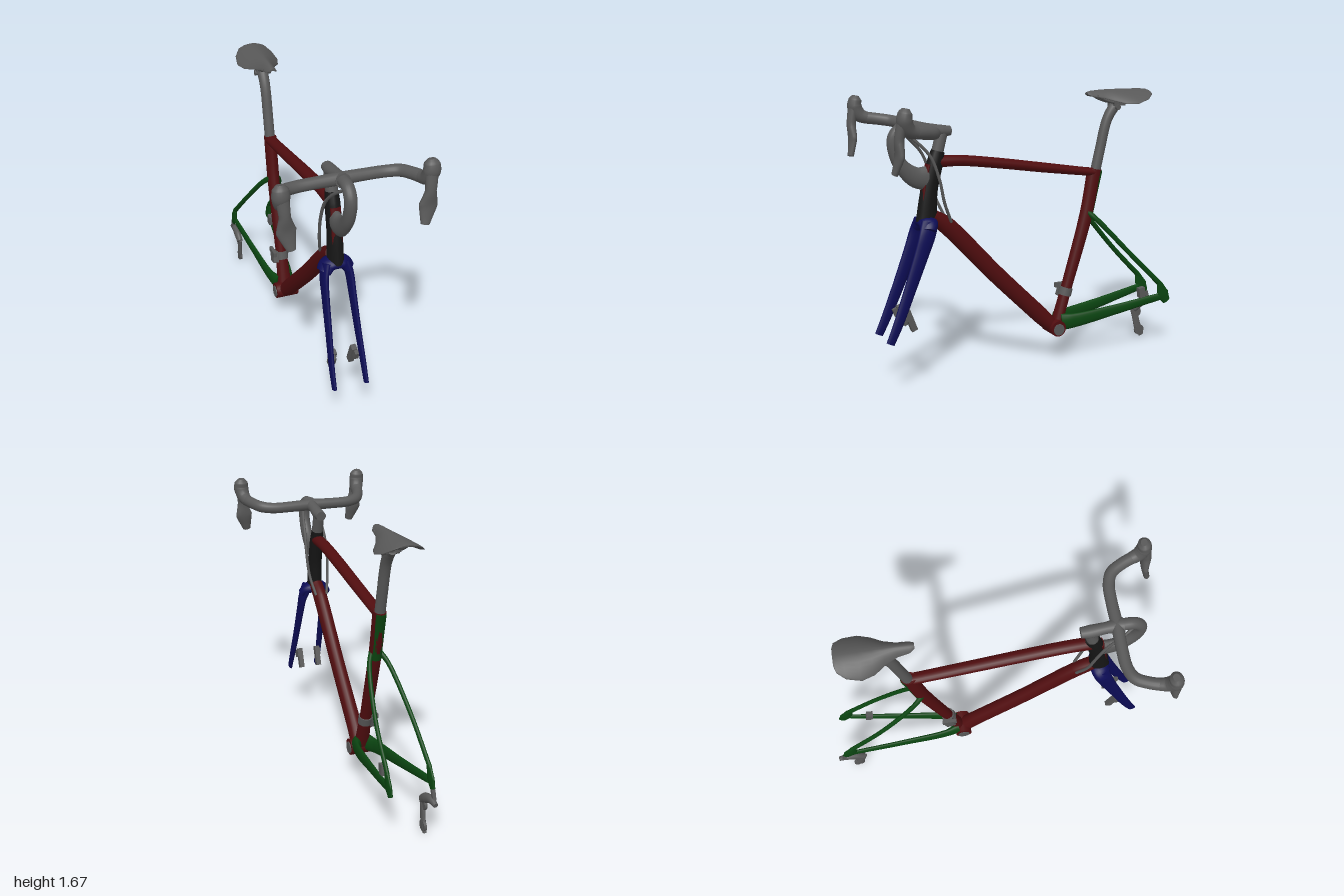
import * as THREE from 'three';

const mat = (name, color) => {
  const m = new THREE.MeshStandardMaterial({ color });
  m.name = name;
  return m;
};

// Skin a list of equal rings, with flat end caps (rings turn anticlockwise seen from the far end)
function loft(rings) {
  const pos = [], idx = [], n = rings[0].length, last = rings.length - 1;
  const add = (p) => pos.push(p.x, p.y, p.z) / 3 - 1;
  rings.forEach((r) => r.forEach(add));
  for (let i = 0; i < last; i++) for (let j = 0; j < n; j++) {
    const a = i * n + j, b = i * n + (j + 1) % n;
    idx.push(a, b, b + n, a, b + n, a + n);
  }
  for (const end of [0, last]) {
    const mid = rings[end].reduce((s, p) => s.add(p), new THREE.Vector3()).divideScalar(n);
    const c = add(mid), first = rings[end].map(add)[0];
    for (let j = 0; j < n; j++) {
      const a = first + j, b = first + (j + 1) % n;
      if (end) idx.push(c, a, b); else idx.push(c, b, a);
    }
  }
  const g = new THREE.BufferGeometry();
  g.setAttribute('position', new THREE.Float32BufferAttribute(pos, 3));
  g.setIndex(idx);
  g.computeVertexNormals();
  return g;
}

// Elliptical tube through [x, y, z, radiusAlongRef, radiusAcross]; ref is the sideways axis
function sweep(pts, ref = new THREE.Vector3(1, 0, 0), sides = 18) {
  const curve = new THREE.CatmullRomCurve3(pts.map((p) => new THREE.Vector3(p[0], p[1], p[2])), false, 'centripetal');
  const steps = (pts.length - 1) * 6, rings = [];
  for (let i = 0; i <= steps; i++) {
    const t = i / steps, c = curve.getPoint(t), d = curve.getTangent(t);
    const u = ref.clone().addScaledVector(d, -ref.dot(d)).normalize();
    const v = d.clone().cross(u);
    const k = Math.min(Math.floor(i / 6), pts.length - 2), f = i / 6 - k;
    const ra = THREE.MathUtils.lerp(pts[k][3], pts[k + 1][3], f);
    const rb = THREE.MathUtils.lerp(pts[k][4], pts[k + 1][4], f);
    rings.push(Array.from({ length: sides }, (_, j) => {
      const a = (j / sides) * Math.PI * 2;
      return c.clone().addScaledVector(u, ra * Math.cos(a)).addScaledVector(v, rb * Math.sin(a));
    }));
  }
  return loft(rings);
}

export function createModel() {
  const red = mat('frame red', 0x500d0f), green = mat('stay green', 0x0b4511), blue = mat('fork blue', 0x0c0c55);
  const grey = mat('component grey', 0x585858), black = mat('head tube black', 0x151515);
  const model = new THREE.Group();
  const add = (name, geo, m, pos, rot) => {
    const mesh = new THREE.Mesh(geo, m);
    mesh.name = name;
    if (pos) mesh.position.set(...pos);
    if (rot) mesh.rotation.set(...rot);
    model.add(mesh);
    return mesh;
  };
  const box = (name, m, size, pos, rot) => add(name, new THREE.BoxGeometry(...size), m, pos, rot);
  const axle = (name, m, r, w, pos) => add(name, new THREE.CylinderGeometry(r, r, w, 24), m, pos, [0, 0, Math.PI / 2]);
  const UP = new THREE.Vector3(0, 1, 0);

  // Main frame
  add('topTube', sweep([[0, 1.31, 0.59, 0.038, 0.034], [0, 1.305, 0.45, 0.038, 0.031], [0, 1.27, 0.2, 0.038, 0.031],
    [0, 1.225, -0.07, 0.037, 0.03], [0, 1.18, -0.35, 0.036, 0.026], [0, 1.165, -0.45, 0.036, 0.026]]), red);
  add('downTube', sweep([[0, 1.0, 0.63, 0.042, 0.04], [0, 0.93, 0.54, 0.043, 0.052], [0, 0.6, 0.23, 0.043, 0.052],
    [0, 0.3, -0.07, 0.045, 0.052], [0, 0.22, -0.15, 0.05, 0.045]]), red);
  add('seatTube', sweep([[0, 1.185, -0.45, 0.037, 0.048], [0, 0.914, -0.395, 0.037, 0.042],
    [0, 0.458, -0.257, 0.035, 0.034], [0, 0.24, -0.19, 0.045, 0.034]]), red);
  axle('bottomBracketShell', red, 0.05, 0.14, [0, 0.215, -0.165]);
  for (const s of [-1, 1]) axle('bottomBracketCap', grey, 0.036, 0.012, [s * 0.07, 0.21, -0.165]);
  add('seatTubeRearStrip', sweep([[0, 1.175, -0.478, 0.03, 0.022], [0, 1.05, -0.448, 0.03, 0.021],
    [0, 0.88, -0.408, 0.03, 0.022]]), green);

  // Head tube
  add('headTube', sweep([[0, 0.97, 0.67, 0.046, 0.062], [0, 1.15, 0.648, 0.042, 0.05],
    [0, 1.3, 0.61, 0.042, 0.048], [0, 1.37, 0.59, 0.036, 0.04]]), black);
  add('headTubeFrontStripe', sweep([[0, 1.1, 0.692, 0.03, 0.012], [0, 1.2, 0.676, 0.03, 0.012], [0, 1.3, 0.652, 0.03, 0.012]]), red);

  // Fork
  add('forkCrown', sweep([[-0.075, 0.93, 0.69, 0.03, 0.045], [-0.045, 0.965, 0.675, 0.035, 0.055], [0, 0.972, 0.67, 0.035, 0.06],
    [0.045, 0.965, 0.675, 0.035, 0.055], [0.075, 0.93, 0.69, 0.03, 0.045]], new THREE.Vector3(0, 1, 0)), blue);

  for (const s of [-1, 1]) {
    add('forkLeg', sweep([[s * 0.055, 0.975, 0.67, 0.026, 0.052], [s * 0.073, 0.9, 0.697, 0.02, 0.05],
      [s * 0.078, 0.8, 0.735, 0.018, 0.044], [s * 0.085, 0.6, 0.815, 0.016, 0.036],
      [s * 0.093, 0.42, 0.89, 0.014, 0.03], [s * 0.095, 0.31, 0.942, 0.012, 0.025]]), blue);
    // Front brake bodies
    box('frontBrakeBody', grey, [0.03, 0.13, 0.036], [s * 0.06, 0.42, 0.805], [0.35, 0, 0]);
    box('frontBrakeMount', grey, [0.024, 0.05, 0.06], [s * 0.068, 0.445, 0.83], [0.35, 0, 0]);

    // Rear stays and dropouts
    add('chainStay', sweep([[s * 0.035, 0.245, -0.2, 0.03, 0.055], [s * 0.06, 0.25, -0.28, 0.018, 0.046],
      [s * 0.09, 0.285, -0.55, 0.014, 0.034], [s * 0.122, 0.335, -0.88, 0.012, 0.024]]), green);
    add('seatStay', sweep([[s * 0.02, 0.925, -0.39, 0.016, 0.018], [s * 0.055, 0.87, -0.445, 0.013, 0.016],
      [s * 0.105, 0.64, -0.66, 0.012, 0.015], [s * 0.125, 0.41, -0.89, 0.012, 0.017]]), green);
    add('dropout', sweep([[s * 0.125, 0.425, -0.875, 0.011, 0.02], [s * 0.125, 0.35, -0.905, 0.013, 0.043],
      [s * 0.125, 0.3, -0.935, 0.01, 0.026]]), green);

    // Handlebar halves with hoods and levers
    add('handlebar', sweep([[0, 1.51, 0.715, 0.036, 0.034], [s * 0.14, 1.508, 0.712, 0.033, 0.033],
      [s * 0.25, 1.508, 0.718, 0.033, 0.033], [s * 0.315, 1.515, 0.745, 0.034, 0.034],
      [s * 0.355, 1.525, 0.81, 0.034, 0.034], [s * 0.382, 1.535, 0.885, 0.035, 0.035]], UP), grey);
    add('hood', sweep([[s * 0.375, 1.53, 0.86, 0.034, 0.034], [s * 0.387, 1.55, 0.91, 0.04, 0.04],
      [s * 0.396, 1.6, 0.935, 0.047, 0.042], [s * 0.396, 1.64, 0.93, 0.042, 0.036],
      [s * 0.396, 1.662, 0.925, 0.022, 0.018]]), grey);
    add('brakeLever', sweep([[s * 0.392, 1.6, 0.945, 0.035, 0.028], [s * 0.385, 1.5, 0.962, 0.03, 0.026],
      [s * 0.378, 1.42, 0.96, 0.053, 0.022], [s * 0.366, 1.36, 0.972, 0.036, 0.018],
      [s * 0.358, 1.32, 0.982, 0.024, 0.017]]), grey);

    // Cables
    add('cable', new THREE.TubeGeometry(new THREE.CatmullRomCurve3([[0.02, 1.49, 0.8], [0.045, 1.44, 0.74], [0.062, 1.35, 0.66],
      [0.068, 1.22, 0.612], [0.06, 1.08, 0.58], [0.035, 0.96, 0.53]].map((p) => new THREE.Vector3(s * p[0], p[1], p[2]))),
      30, 0.009, 8), grey);

    // Saddle rails
    add('saddleRail', new THREE.TubeGeometry(new THREE.CatmullRomCurve3([[1.635, -0.44], [1.6, -0.52], [1.585, -0.6],
      [1.595, -0.67], [1.635, -0.75]].map((p) => new THREE.Vector3(s * 0.028, p[0], p[1]))), 24, 0.009, 8), grey);
  }

  // Stem, spacers and the curved tube ahead of the head tube
  add('steererSpacer', sweep([[0, 1.34, 0.6, 0.035, 0.035], [0, 1.48, 0.562, 0.034, 0.034]]), grey);
  add('stem', sweep([[0, 1.48, 0.515, 0.032, 0.028], [0, 1.483, 0.57, 0.037, 0.034],
    [0, 1.5, 0.65, 0.033, 0.03], [0, 1.513, 0.75, 0.042, 0.04]]), grey);
  add('frontLoopTube', sweep([[0, 1.515, 0.73, 0.034, 0.03], [0, 1.51, 0.81, 0.034, 0.032], [0, 1.46, 0.852, 0.034, 0.034],
    [0, 1.37, 0.845, 0.034, 0.035], [0, 1.29, 0.8, 0.035, 0.042], [0, 1.23, 0.725, 0.035, 0.06],
    [0, 1.22, 0.65, 0.035, 0.07]]), grey);

  // Seat post and clamp
  add('seatPost', sweep([[0, 1.15, -0.45, 0.031, 0.032], [0, 1.3, -0.485, 0.031, 0.031],
    [0, 1.48, -0.532, 0.031, 0.031], [0, 1.55, -0.575, 0.033, 0.033], [0, 1.575, -0.605, 0.03, 0.03]]), grey);
  box('saddleClamp', grey, [0.085, 0.03, 0.075], [0, 1.583, -0.6]);
  axle('clampBolt', grey, 0.016, 0.1, [0, 1.56, -0.585]);

  // Saddle: rows of z, half width, side drop, thickness
  const rows = [[-0.815, 0.05, 0.005, 0.004], [-0.805, 0.085, 0.018, 0.009], [-0.76, 0.117, 0.045, 0.013], [-0.68, 0.13, 0.068, 0.015],
    [-0.61, 0.108, 0.068, 0.016], [-0.55, 0.07, 0.052, 0.017], [-0.48, 0.042, 0.032, 0.016],
    [-0.41, 0.033, 0.02, 0.012], [-0.385, 0.018, 0.008, 0.006]];
  add('saddle', loft(rows.map(([z, w, drop, th]) => Array.from({ length: 32 }, (_, j) => {
    const a = (j / 32) * Math.PI * 2, c = Math.cos(a);
    return new THREE.Vector3(w * c, 1.652 - drop * Math.abs(c) ** 1.7 + th * Math.sin(a), z);
  }))), grey);

  // Front derailleur on the seat tube
  add('frontDerailleurBand', new THREE.CylinderGeometry(0.042, 0.042, 0.05, 20), grey, [0, 0.43, -0.248], [-0.29, 0, 0]);
  box('frontDerailleurBody', grey, [0.035, 0.075, 0.06], [-0.045, 0.425, -0.25], [-0.29, 0, 0]);
  box('frontDerailleurLink', grey, [0.02, 0.03, 0.09], [-0.055, 0.46, -0.25]);

  // Rear brake body on the left stay
  box('rearBrakeBody', grey, [0.035, 0.065, 0.042], [0.095, 0.375, -0.755], [0.15, 0, 0]);

  // Rear derailleur on the right dropout
  box('derailleurHanger', grey, [0.02, 0.06, 0.022], [-0.122, 0.275, -0.95], [0.3, 0, 0]);
  add('derailleurBody', sweep([[-0.118, 0.23, -0.99, 0.014, 0.014], [-0.115, 0.24, -0.94, 0.02, 0.024],
    [-0.112, 0.22, -0.88, 0.022, 0.03], [-0.11, 0.19, -0.835, 0.02, 0.024]]), grey);
  add('derailleurCage', sweep([[-0.108, 0.2, -0.83, 0.01, 0.018], [-0.106, 0.13, -0.855, 0.012, 0.024],
    [-0.103, 0.07, -0.87, 0.012, 0.026], [-0.1, 0.008, -0.9, 0.01, 0.018]]), grey);
  axle('upperPulley', grey, 0.034, 0.016, [-0.108, 0.17, -0.86]);
  axle('lowerPulley', grey, 0.034, 0.016, [-0.1, 0.045, -0.88]);
  return model;
}
